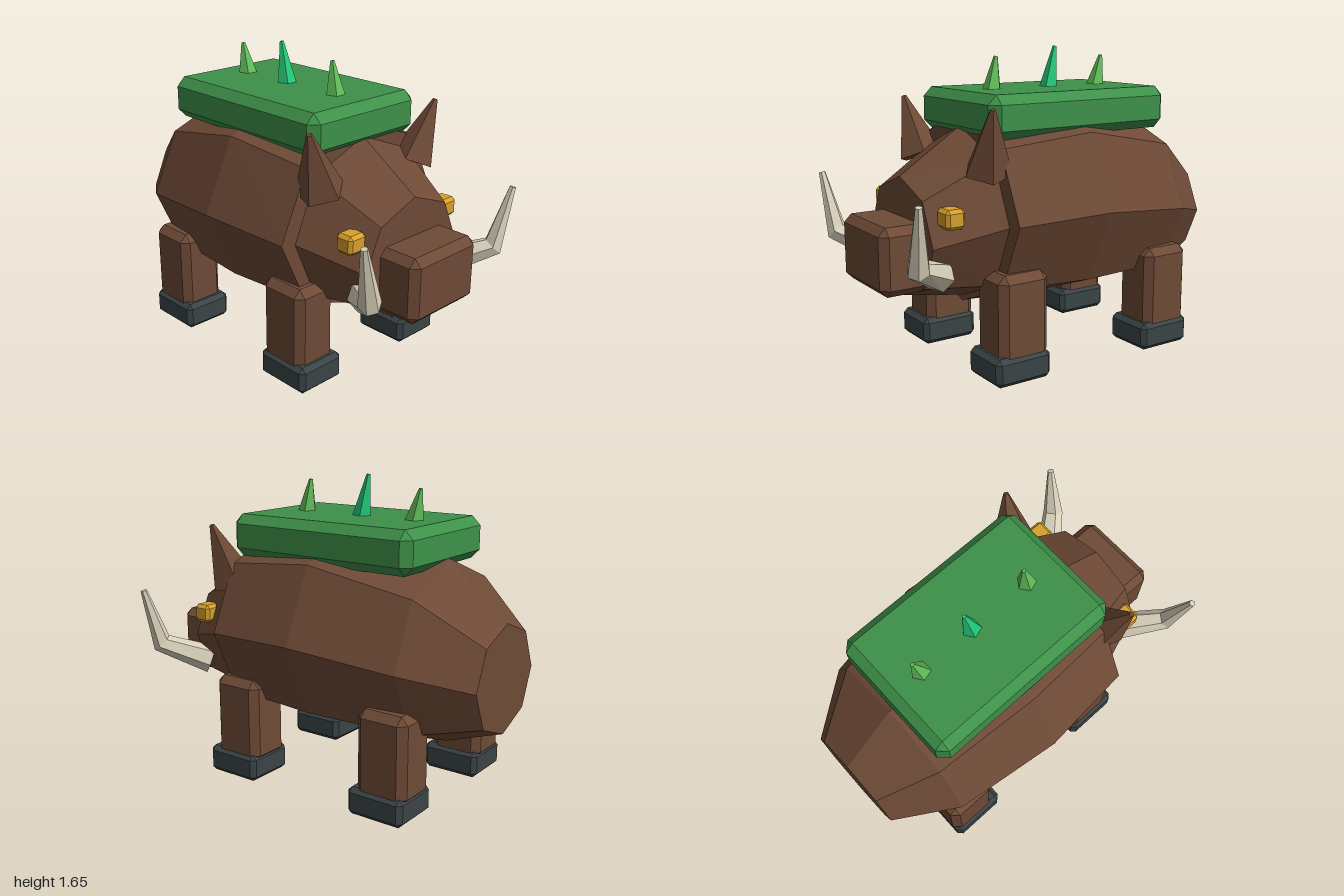
import * as THREE from 'three';
import { ConvexGeometry } from 'three/addons/geometries/ConvexGeometry.js';

const V = (x, y, z) => new THREE.Vector3(x, y, z);

function material(name, color) {
  const m = new THREE.MeshStandardMaterial({ color });
  m.name = name;
  return m;
}

// Closed, faceted skin over a list of rings (each counter-clockwise about the path)
function loft(rings) {
  const pts = [];
  const n = rings[0].length;
  const centre = (r) => r.reduce((s, p) => s.add(p), V(0, 0, 0)).divideScalar(n);
  const first = rings[0], last = rings[rings.length - 1];
  const c0 = centre(first), c1 = centre(last);
  for (let i = 0; i < n; i++) {
    const j = (i + 1) % n;
    for (let k = 0; k < rings.length - 1; k++) {
      const a = rings[k], b = rings[k + 1];
      pts.push(a[i], a[j], b[j], a[i], b[j], b[i]);
    }
    pts.push(c0, first[j], first[i], c1, last[i], last[j]);
  }
  const g = new THREE.BufferGeometry().setFromPoints(pts);
  g.computeVertexNormals();
  return g;
}

// Octagonal cross-sections along z: [z, centre y, x radius, y radius]
function barrel(sections) {
  return loft(sections.map(([z, cy, rx, ry]) =>
    Array.from({ length: 8 }, (_, i) => {
      const t = (i * Math.PI) / 4;
      return V(rx * Math.cos(t), cy + ry * Math.sin(t), z);
    })));
}

// Tapered horn following a polyline
function horn(path, radii, sides, start = 0) {
  const up = V(0, 1, 0);
  return loft(path.map((p, k) => {
    const dir = V(0, 0, 0);
    if (k > 0) dir.add(p.clone().sub(path[k - 1]).normalize());
    if (k < path.length - 1) dir.add(path[k + 1].clone().sub(p).normalize());
    const q = new THREE.Quaternion().setFromUnitVectors(up, dir.normalize());
    return Array.from({ length: sides }, (_, i) => {
      const t = start + (i * 2 * Math.PI) / sides;
      return V(Math.sin(t), 0, Math.cos(t)).multiplyScalar(radii[k]).applyQuaternion(q).add(p);
    });
  }));
}

// Box with every edge and corner cut off by c
function chamferBox(w, h, d, c) {
  const pts = [];
  for (const x of [-1, 1]) for (const y of [-1, 1]) for (const z of [-1, 1]) {
    const X = (x * w) / 2, Y = (y * h) / 2, Z = (z * d) / 2;
    pts.push(V(X, Y - y * c, Z - z * c), V(X - x * c, Y, Z - z * c), V(X - x * c, Y - y * c, Z));
  }
  return new ConvexGeometry(pts);
}

export function createModel() {
  const hide = material('brown hide', 0x6e4a36);
  const moss = material('moss green', 0x3e9149);
  const hoofMat = material('hoof grey', 0x3a4446);
  const ivory = material('ivory', 0xd8d0ba);
  const amber = material('amber', 0xd6a02c);
  const leaf = material('leaf green', 0x62bf5a);
  const emerald = material('emerald green', 0x22cc7c);

  const model = new THREE.Group();
  model.name = 'boar';
  const add = (name, geometry, mat, x = 0, y = 0, z = 0) => {
    const mesh = new THREE.Mesh(geometry, mat);
    mesh.name = name;
    mesh.position.set(x, y, z);
    model.add(mesh);
  };

  // Body, head and snout
  add('body', barrel([
    [-1, 0.685, 0.3, 0.285],
    [-0.68, 0.77, 0.515, 0.48],
    [-0.1, 0.832, 0.602, 0.552],
    [0.43, 0.815, 0.56, 0.505],
  ]), hide);
  add('head', barrel([
    [0.38, 0.8, 0.47, 0.46],
    [0.43, 0.795, 0.47, 0.455],
    [0.78, 0.71, 0.34, 0.31],
  ]), hide);
  add('snout', chamferBox(0.48, 0.345, 0.3, 0.04), hide, 0, 0.643, 0.85);

  // Mossy slab on the back with three spikes leaning backwards
  add('mossSlab', chamferBox(0.755, 0.225, 1.12, 0.048), moss, 0, 1.318, -0.1);
  [[0.23, 0.205, 1.6, leaf], [-0.135, -0.175, 1.645, emerald], [-0.46, -0.495, 1.59, leaf]]
    .forEach(([z, tipZ, tipY, mat]) => {
      add('spike', horn([V(0, 1.42, z), V(0, tipY, tipZ)], [0.053, 0.011], 5, Math.PI), mat);
    });

  for (const s of [1, -1]) {
    const side = s > 0 ? 'left' : 'right';

    // Legs and hooves
    for (const [end, z] of [['Front', 0.35], ['Back', -0.59]]) {
      add(side + end + 'Leg', chamferBox(0.256, 0.46, 0.29, 0.04), hide, s * 0.376, 0.33, z);
      add(side + end + 'Hoof', chamferBox(0.29, 0.148, 0.325, 0.025), hoofMat, s * 0.376, 0.074, z + 0.02);
    }

    // Ear, eye and bent tusk
    add(side + 'Ear', horn(
      [V(s * 0.345, 1.06, 0.475), V(s * 0.46, 1.375, 0.515)], [0.125, 0.014], 5), hide);
    add(side + 'Eye', chamferBox(0.115, 0.1, 0.105, 0.018), amber, s * 0.343, 0.855, 0.682);
    add(side + 'Tusk', horn(
      [V(s * 0.29, 0.56, 0.72), V(s * 0.475, 0.665, 0.93), V(s * 0.56, 0.98, 0.965)],
      [0.08, 0.058, 0.018], 6), ivory);
  }
  return model;
}
